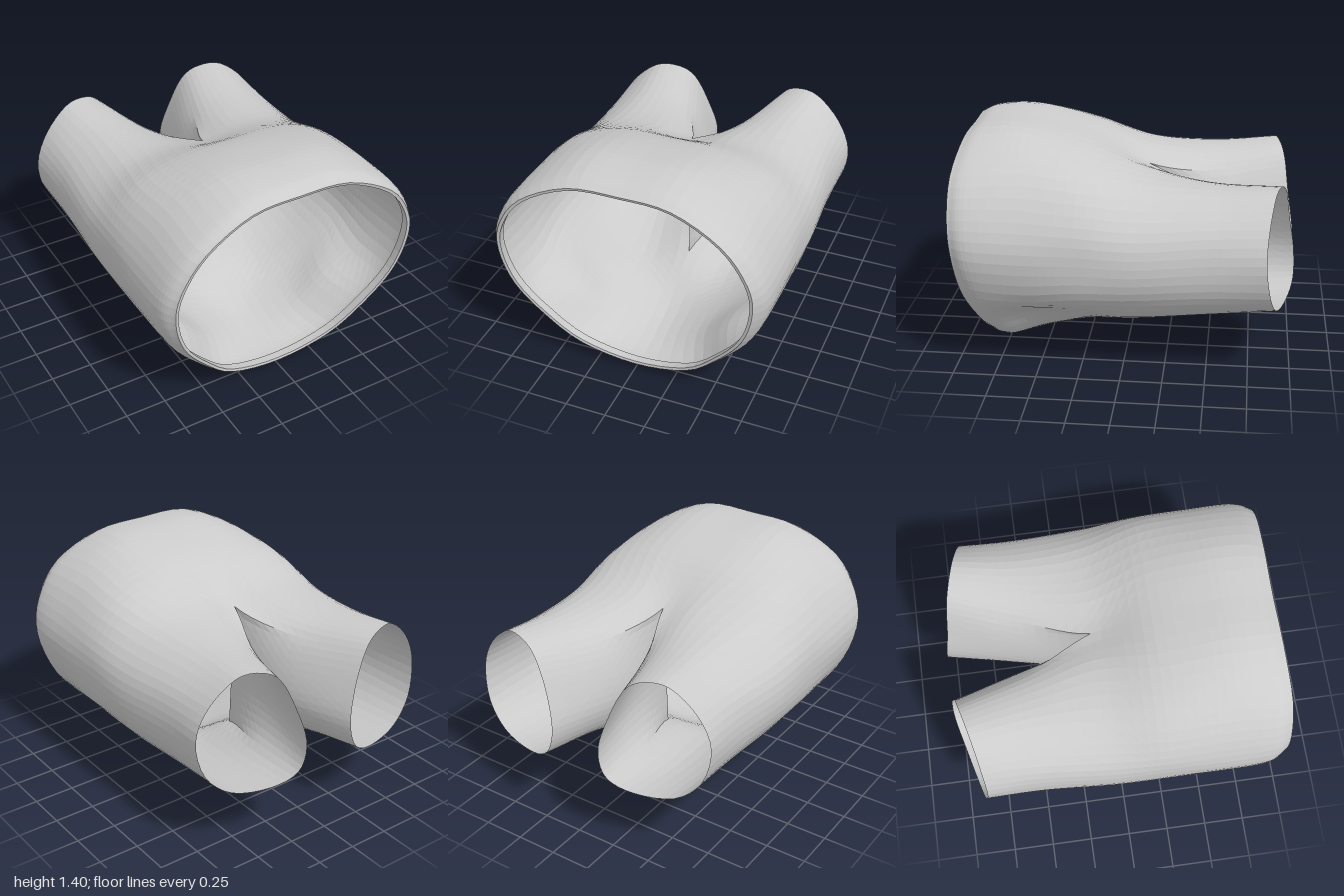
import * as THREE from 'three';

const material = new THREE.MeshStandardMaterial({ color: 0xcccccc, flatShading: true, side: THREE.DoubleSide });

// The waist opening leans back at its lower edge and dips a little at the centre
const rimZ = (x, y) => 0.85 + 0.145 * (1 - (1 - Math.min(1, Math.max(0, (y - 0.05) / 1.28))) ** 2)
  - 0.03 * Math.max(0, 1 - x * x / 0.4);
// The leg openings are cut longer on the inside and underneath
const cuffZ = (x, y) => -0.835 - 0.15 * ((0.81 - x) / 0.64) ** 1.3 - 0.045 * Math.max(0, (0.8 - y) / 0.38);

// Half sections [x, y] from top centre, round the hip, to bottom centre; z follows a rule
const sections = [
  { z: rimZ, p: [[0, 1.345], [0.31, 1.33], [0.6, 1.19], [0.75, 0.98], [0.78, 0.78], [0.715, 0.54], [0.555, 0.32], [0.34, 0.12], [0, 0.04]] },
  { z: (x, y) => rimZ(x, y) - 0.11, p: [[0, 1.39], [0.33, 1.37], [0.63, 1.21], [0.79, 1.0], [0.835, 0.77], [0.75, 0.5], [0.57, 0.28], [0.34, 0.075], [0, 0.002]] },
  { z: (x, y) => 0.5 + 0.08 * y, p: [[0, 1.395], [0.33, 1.38], [0.62, 1.23], [0.79, 1.0], [0.84, 0.76], [0.75, 0.49], [0.5, 0.315], [0.28, 0.12], [0, 0.03]] },
  { z: () => 0.25, p: [[0, 1.31], [0.33, 1.295], [0.62, 1.19], [0.79, 0.98], [0.83, 0.76], [0.78, 0.53], [0.58, 0.35], [0.3, 0.185], [0, 0.1]] },
  { z: (x, y) => -0.04 - 0.06 * y, p: [[0, 1.11], [0.25, 1.16], [0.55, 1.12], [0.76, 0.95], [0.825, 0.75], [0.78, 0.54], [0.6, 0.35], [0.3, 0.235], [0, 0.28]] },
  { z: () => -0.5, p: [[0.16, 1.02], [0.32, 1.11], [0.53, 1.11], [0.73, 0.97], [0.8, 0.78], [0.77, 0.57], [0.62, 0.4], [0.37, 0.33], [0.15, 0.41]] },
  { z: cuffZ, p: [[0.31, 1.06], [0.42, 1.135], [0.57, 1.13], [0.73, 0.99], [0.81, 0.8], [0.77, 0.58], [0.62, 0.44], [0.39, 0.415], [0.22, 0.48]] },
];
// Inner leg points, bottom to top, for the last three sections
const innerPoints = [
  [[0, 0.55], [0, 0.83]],
  [[0.055, 0.6], [0.07, 0.82]],
  [[0.165, 0.65], [0.22, 0.87]],
];

// Samples the curve between the second and the last but one point; the end points only set the slope
function sampleInside(points, z, n) {
  const curve = new THREE.CatmullRomCurve3(
    points.map(([x, y]) => new THREE.Vector3(x, y, z(x, y))), false, 'catmullrom', 0.5);
  const last = points.length - 1;
  return Array.from({ length: n + 1 }, (_, i) => curve.getPoint((1 + (last - 2) * i / n) / last));
}

// Splines the sections together lengthwise into a grid of rows
function loft(rows, steps) {
  const columns = rows[0].map((_, i) => {
    const curve = new THREE.CatmullRomCurve3(rows.map((r) => r[i]), false, 'catmullrom', 0.5);
    return Array.from({ length: steps + 1 }, (_, j) => curve.getPoint(j / steps));
  });
  return Array.from({ length: steps + 1 }, (_, j) => columns.map((c) => c[j]));
}

// Surface through a grid of rows; side = -1 mirrors it to the right
function gridMesh(name, grid, side) {
  const width = grid[0].length;
  const positions = grid.flatMap((row) => row.flatMap((p) => [side * Math.max(0, p.x), p.y, p.z]));
  const index = [];
  for (let j = 0; j < grid.length - 1; j++) {
    for (let i = 0; i < width - 1; i++) {
      const a = j * width + i, b = a + 1, c = a + width, d = c + 1;
      if (side > 0) index.push(a, b, c, b, d, c);
      else index.push(a, c, b, b, c, d);
    }
  }
  const geometry = new THREE.BufferGeometry();
  geometry.setAttribute('position', new THREE.Float32BufferAttribute(positions, 3));
  geometry.setIndex(index);
  geometry.computeVertexNormals();
  const mesh = new THREE.Mesh(geometry, material);
  mesh.name = name;
  return mesh;
}

export function createModel() {
  const group = new THREE.Group();
  group.name = 'shorts';

  // Outer cloth: waist, hip and outer leg in one sweep.
  // The body runs on into its mirror image, the legs into their inner side.
  const mirrored = ([x, y]) => [-x, y];
  const outerRows = sections.map(({ p, z }, k) => {
    const [low, high] = k > 4 ? innerPoints[k - 4] : [mirrored(p[7]), mirrored(p[1])];
    return sampleInside([high, ...p, low], z, 32);
  });
  const outer = loft(outerRows, 36);

  // Inner leg cloth, starting at the crotch seam
  const innerRows = innerPoints.map((pts, i) => {
    const { p, z } = sections[i + 4];
    const [before, after] = i > 0 ? [p[7], p[1]] : [[0, 0.1], [0, 1.3]];
    return sampleInside([before, p[8], ...pts, p[0], after], z, 14);
  });
  const inner = loft(innerRows, 12);
  // Share the edges of the outer cloth so the seams close
  inner.forEach((row, j) => {
    row[0] = outer[24 + j][32];
    row[14] = outer[24 + j][0];
  });

  // Waistband: folded lip and the narrow facing behind it
  const fold = (scale, back) => outer[0].map((p) =>
    new THREE.Vector3(p.x * scale, 0.72 + (p.y - 0.72) * scale, p.z - back));
  const band = [fold(0.985, 0.06), fold(0.975, 0.004), outer[0]];

  for (const [label, side] of [['left', 1], ['right', -1]]) {
    const half = new THREE.Group();
    half.name = label + 'Half';
    half.add(
      gridMesh(label + 'BodyAndOuterLeg', outer, side),
      gridMesh(label + 'InnerLeg', inner, side),
      gridMesh(label + 'Waistband', band, side),
    );
    group.add(half);
  }
  return group;
}
